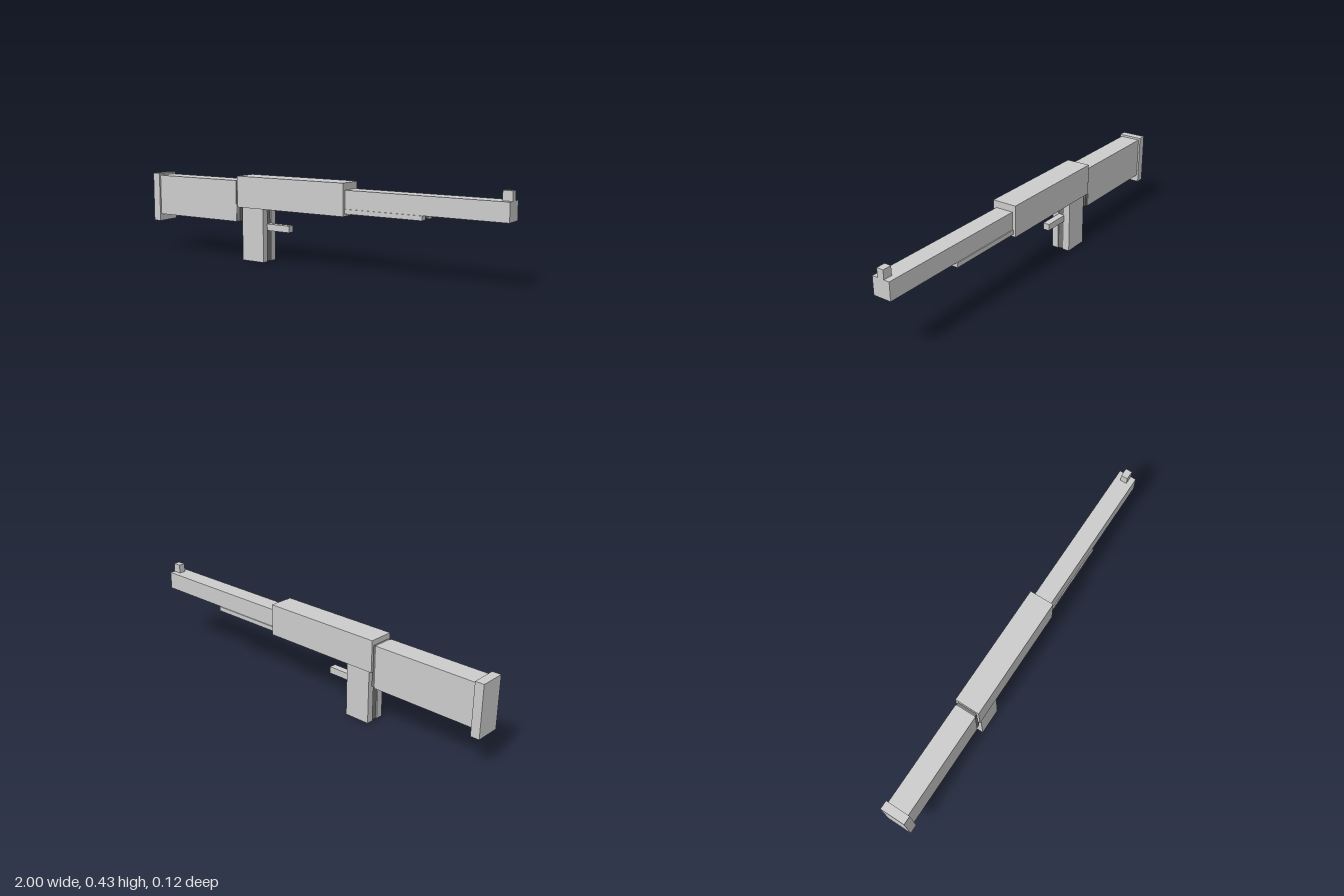
import * as THREE from 'three';

export function createModel() {
  const model = new THREE.Group();
  const light = new THREE.MeshStandardMaterial({ name: 'light grey', color: 0xcccccc });
  const dark = new THREE.MeshStandardMaterial({ name: 'dark grey', color: 0x747474 });

  // Box given by its limits along each axis
  function block(name, material, [x0, x1], [y0, y1], [z0, z1]) {
    const mesh = new THREE.Mesh(new THREE.BoxGeometry(x1 - x0, y1 - y0, z1 - z0), material);
    mesh.position.set((x0 + x1) / 2, (y0 + y1) / 2, (z0 + z1) / 2);
    mesh.name = name;
    model.add(mesh);
  }
  const wide = (half) => [-half, half];

  // Shoulder end
  block('buttPlate', light, [-1, -0.957], [0.157, 0.41], wide(0.062));
  block('stock', light, [-0.957, -0.44], [0.193, 0.4], wide(0.053));
  block('stockCollar', dark, [-0.44, -0.42], [0.195, 0.398], wide(0.05));

  // Body and barrel
  block('receiver', light, [-0.425, 0.2], [0.268, 0.424], wide(0.062));
  block('barrel', light, [0.2, 1], [0.302, 0.39], wide(0.045));
  block('frontSight', light, [0.955, 1], [0.39, 0.434], wide(0.017));

  // Fore-end: side rails around a dark channel, with a notched nose
  for (const side of [-1, 1]) {
    const span = (a, b) => [side * a, side * b].sort((p, q) => p - q);
    block('foreEndRail', light, [0.2, 0.6], [0.28, 0.302], span(0.033, 0.05));
    block('foreEndNose', light, [0.59, 0.6], [0.28, 0.302], span(0.016, 0.033));
    block('gripPanel', light, [-0.403, -0.273], [0, 0.268], span(0.016, 0.05));
  }
  block('foreEndChannel', dark, [0.2, 0.595], [0.284, 0.302], wide(0.033));

  // Grip core, set back between the panels, and trigger
  block('gripCore', dark, [-0.397, -0.279], [0, 0.268], wide(0.016));
  block('trigger', light, [-0.279, -0.14], [0.157, 0.19], wide(0.017));

  return model;
}
